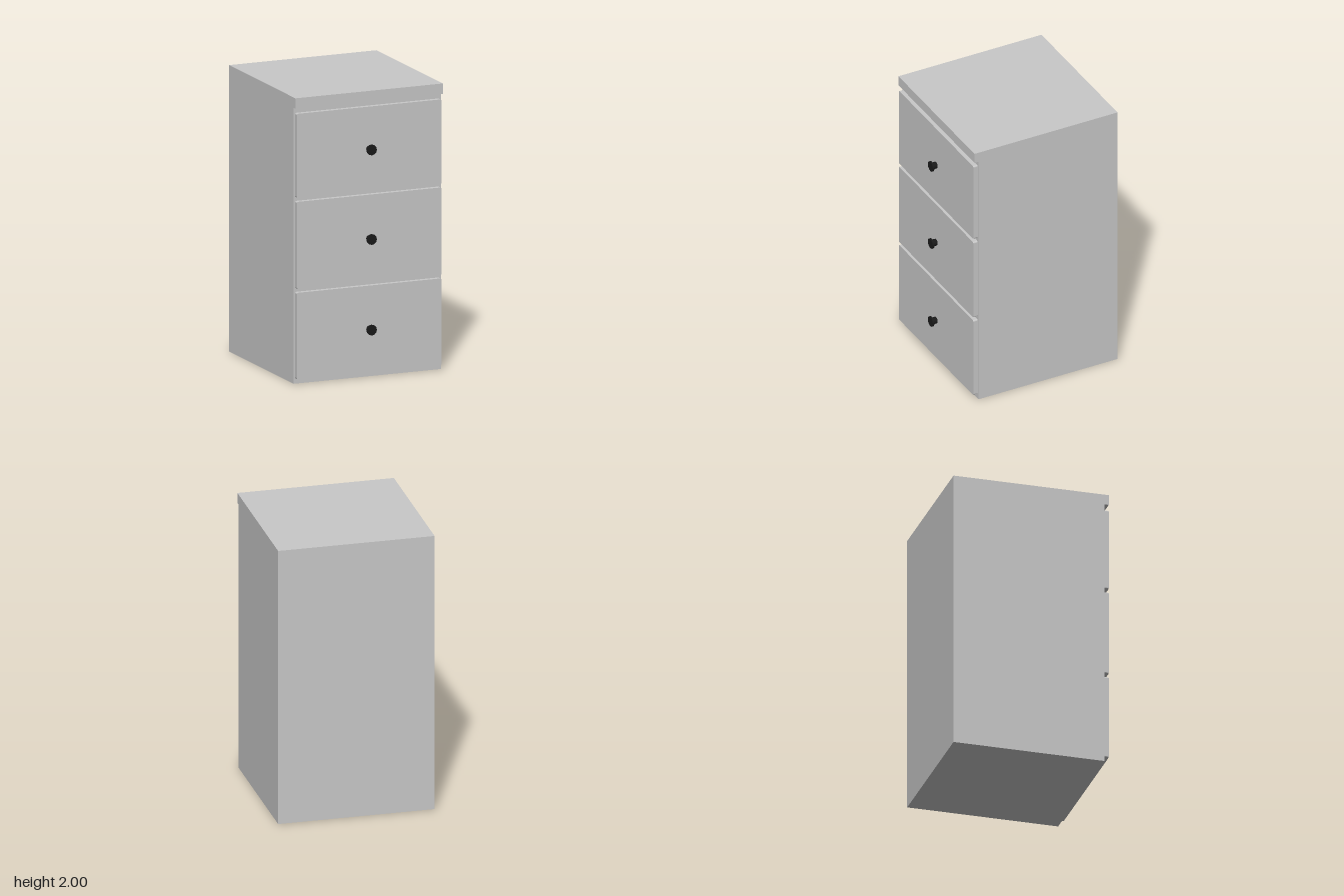
import * as THREE from 'three';

const paint = new THREE.MeshStandardMaterial({ name: 'grey paint', color: 0xc8c8c8 });
const black = new THREE.MeshStandardMaterial({ name: 'black metal', color: 0x1a1a1a });

const BODY_FRONT = 0.497, DRAWER_FRONT = 0.531, BACK = -0.575;

function box(name, w, y0, y1, z0, z1) {
  const mesh = new THREE.Mesh(new THREE.BoxGeometry(w, y1 - y0, z1 - z0), paint);
  mesh.name = name;
  mesh.position.set(0, (y0 + y1) / 2, (z0 + z1) / 2);
  return mesh;
}

// Flat panel with small rounded corners
function drawerFront(y0, y1) {
  const x = 0.539, r = 0.01, h = (y1 - y0) / 2;
  const s = new THREE.Shape();
  s.absarc(x - r, h - r, r, 0, Math.PI / 2);
  s.absarc(-x + r, h - r, r, Math.PI / 2, Math.PI);
  s.absarc(-x + r, -h + r, r, Math.PI, Math.PI * 1.5);
  s.absarc(x - r, -h + r, r, Math.PI * 1.5, Math.PI * 2);
  const geo = new THREE.ExtrudeGeometry(s, {
    depth: DRAWER_FRONT - BODY_FRONT, bevelEnabled: false, curveSegments: 3,
  });
  const mesh = new THREE.Mesh(geo, paint);
  mesh.name = 'drawerFront';
  mesh.position.set(0, (y0 + y1) / 2, BODY_FRONT);
  return mesh;
}

// Short stem with a wider disc on its end
function knob(y) {
  const group = new THREE.Group();
  group.name = 'knob';
  const parts = [['knobStem', 0.024, DRAWER_FRONT, 0.564], ['knobDisc', 0.037, 0.563, 0.575]];
  for (const [name, r, z0, z1] of parts) {
    const geo = new THREE.CylinderGeometry(r, r, z1 - z0, 12).rotateX(Math.PI / 2);
    const mesh = new THREE.Mesh(geo, black);
    mesh.name = name;
    mesh.position.z = (z0 + z1) / 2;
    group.add(mesh);
  }
  group.position.y = y;
  return group;
}

export function createModel() {
  const model = new THREE.Group();
  model.name = 'drawerCabinet';

  // Carcass and overhanging top
  model.add(box('carcass', 1.1, 0, 1.927, BACK, BODY_FRONT));
  model.add(box('top', 1.1, 1.927, 2, BACK, 0.528));

  // Three drawers, bottom to top
  for (const [y0, y1] of [[0.036, 0.641], [0.666, 1.276], [1.302, 1.891]]) {
    const drawer = new THREE.Group();
    drawer.name = 'drawer';
    drawer.add(drawerFront(y0, y1), knob((y0 + y1) / 2));
    model.add(drawer);
  }
  return model;
}
